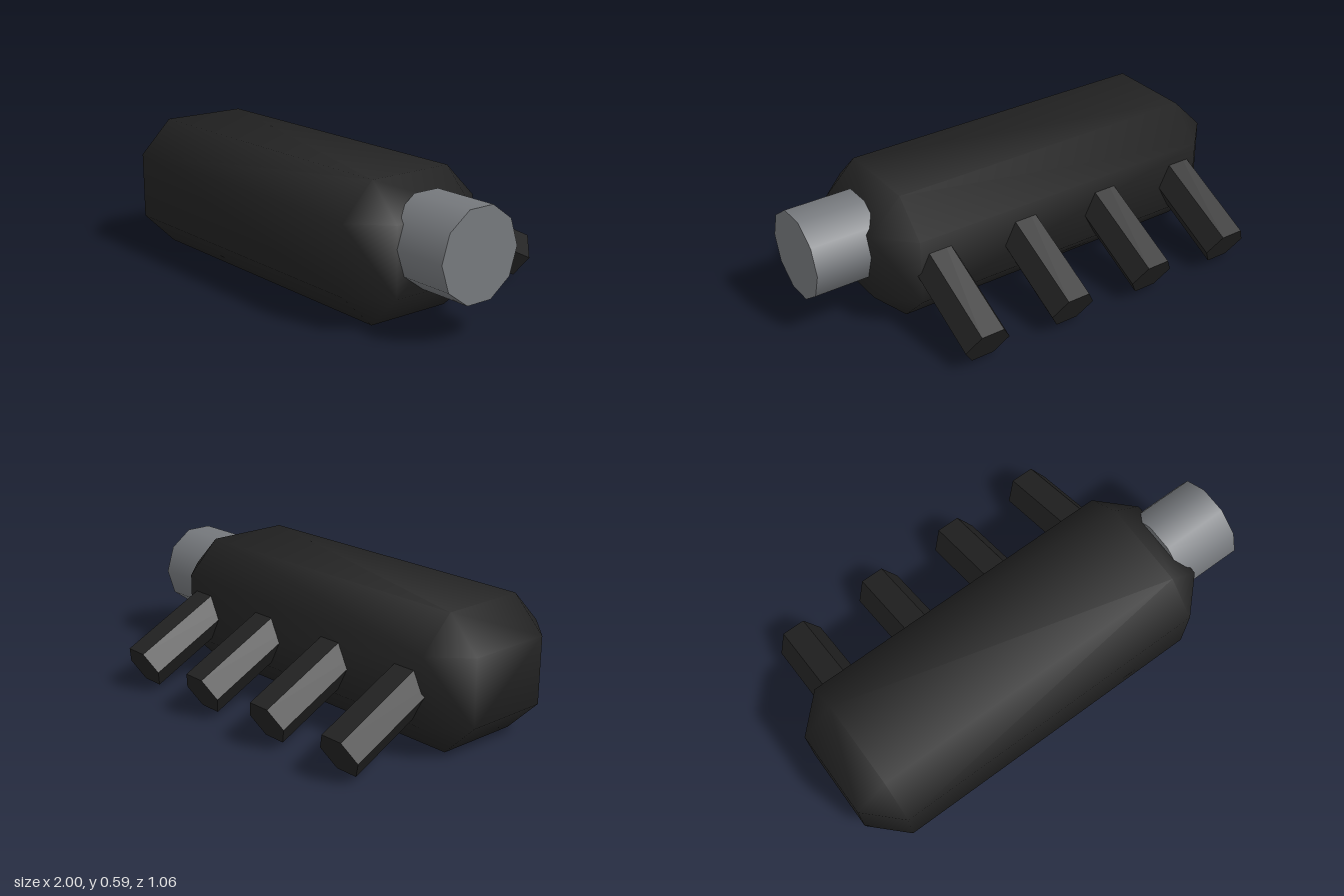
import * as THREE from 'three';
import { ConvexGeometry } from 'three/addons/geometries/ConvexGeometry.js';

// Box with single-cut chamfers and smooth normals leaning out from each flat face
function chamferedBox(hx, hy, hz, bevel) {
  const half = [hx, hy, hz];
  const points = [];
  for (let axis = 0; axis < 3; axis++)
    for (const sx of [-1, 1]) for (const sy of [-1, 1]) for (const sz of [-1, 1]) {
      const p = [sx, sy, sz].map((s, i) => s * (half[i] - (i === axis ? 0 : bevel)));
      points.push(new THREE.Vector3(...p));
    }
  const geometry = new ConvexGeometry(points);
  const pos = geometry.attributes.position;
  const normal = geometry.attributes.normal;
  const n = new THREE.Vector3();
  for (let i = 0; i < pos.count; i++) {
    const p = [pos.getX(i), pos.getY(i), pos.getZ(i)];
    n.set(...p.map((v, k) => Math.sign(v) * (Math.abs(v) > half[k] - bevel / 2 ? 1 : 0.39))).normalize();
    normal.setXYZ(i, n.x, n.y, n.z);
  }
  return geometry;
}

export function createModel() {
  const group = new THREE.Group();
  const black = new THREE.MeshStandardMaterial({ color: 0x222222 });
  black.name = 'black';
  const blackFlat = black.clone();
  blackFlat.name = 'blackFaceted';
  blackFlat.flatShading = true;
  const metal = new THREE.MeshStandardMaterial({ color: 0x76797d });
  metal.name = 'greyMetal';

  // Main chamfered housing
  const body = new THREE.Mesh(chamferedBox(0.878, 0.293, 0.341, 0.147), black);
  body.name = 'body';
  body.position.set(-0.122, 0.293, 0.193);
  group.add(body);

  // Ten-sided inlet on the left end
  const inlet = new THREE.Mesh(new THREE.CylinderGeometry(0.195, 0.195, 0.3, 10), metal);
  inlet.name = 'inlet';
  inlet.rotation.z = -Math.PI / 2;
  inlet.position.set(0.85, 0.345, 0.193);
  group.add(inlet);

  // Row of hexagonal runners sloping down and back
  const length = 0.547;
  const runnerGeometry = new THREE.CylinderGeometry(0.105, 0.105, length, 6, 1, false, Math.PI / 2);
  runnerGeometry.translate(0, length / 2, 0);
  for (let i = 0; i < 4; i++) {
    const runner = new THREE.Mesh(runnerGeometry, blackFlat);
    runner.name = 'runner' + (i + 1);
    runner.rotation.x = -2.034;
    runner.position.set(-0.757 + i * 0.424, 0.345, 0);
    group.add(runner);
  }
  return group;
}
